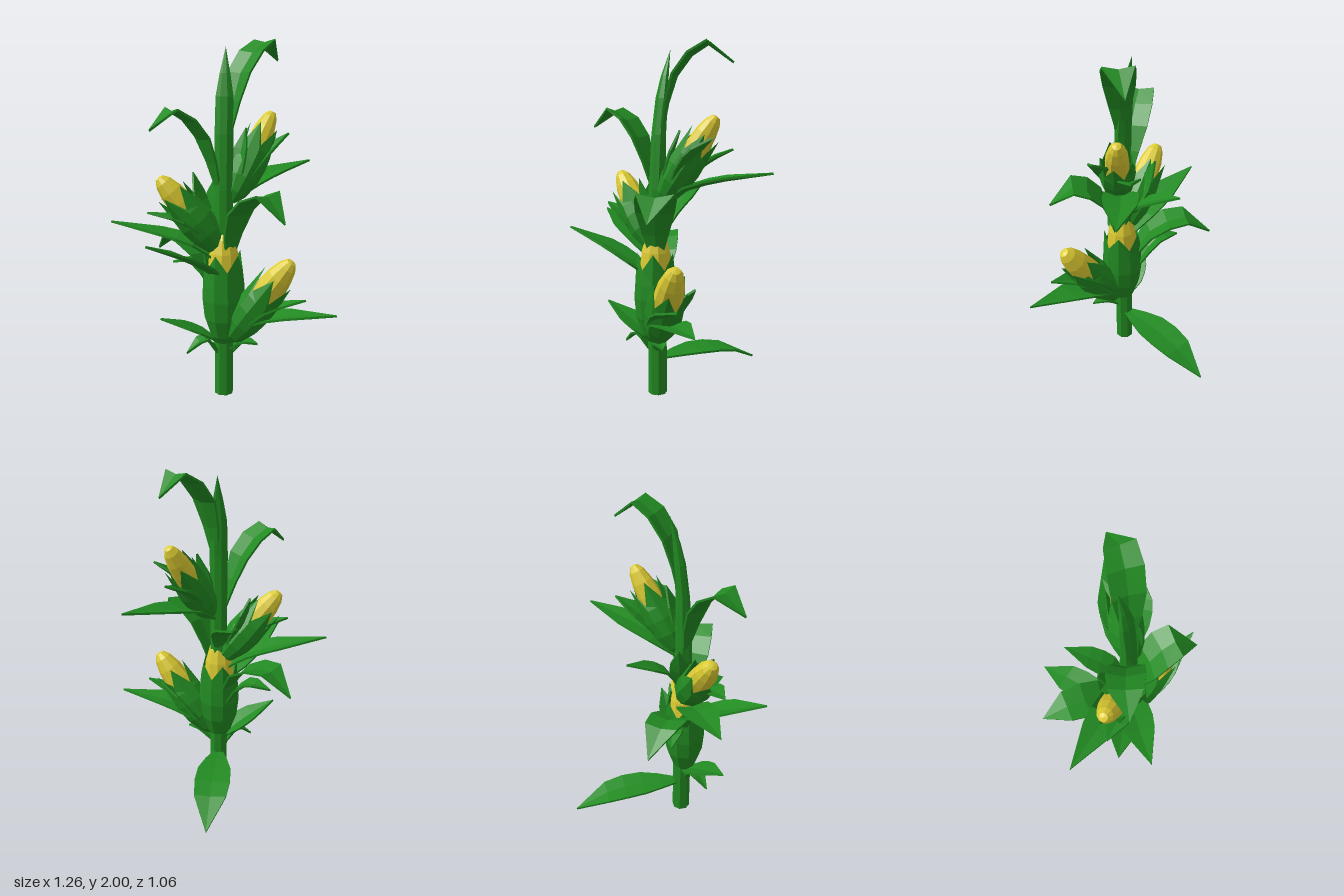
import * as THREE from 'three';

const green = new THREE.MeshStandardMaterial({ color: 0x228b22, flatShading: true, side: THREE.DoubleSide });
const yellow = new THREE.MeshStandardMaterial({ color: 0xdccb32, flatShading: true, side: THREE.DoubleSide });
const v = (p) => new THREE.Vector3(...p);

function mesh(name, geometry, material) {
  const m = new THREE.Mesh(geometry, material);
  m.name = name;
  return m;
}

// Joins equal-length rows of points into a sheet
function loft(rows) {
  const n = rows[0].length;
  const index = [];
  for (let i = 0; i < rows.length - 1; i++) {
    for (let j = 0; j < n - 1; j++) {
      const a = i * n + j, b = a + n;
      index.push(a, a + 1, b, a + 1, b + 1, b);
    }
  }
  const g = new THREE.BufferGeometry().setFromPoints(rows.flat());
  g.setIndex(index);
  g.computeVertexNormals();
  return g;
}

// Pointed leaf of slight thickness with a folded midrib, following a path
function leaf(name, points, width, fold = 0.2) {
  const curve = new THREE.CatmullRomCurve3(points.map(v));
  const first = v(points[0]), last = v(points[points.length - 1]);
  const side = new THREE.Vector3(-(last.z - first.z), 0, last.x - first.x).normalize();
  const stations = [[0, 0.25], [0.17, 0.65], [1 / 3, 0.95], [0.5, 1], [2 / 3, 0.88], [1, 0]];
  const section = [[-1, 0], [0, 0], [1, 0], [1, 1], [0, 1], [-1, 1], [-1, 0]];
  const rows = stations.map(([t, w]) => {
    const p = curve.getPoint(t);
    const half = w * width / 2;
    const up = side.clone().cross(curve.getTangent(t)).normalize();
    if (up.y < 0) up.negate();
    return section.map(([s, under]) => p.clone().addScaledVector(side, s * half)
      .addScaledVector(up, Math.abs(s) * half * fold - under * 0.012));
  });
  return mesh(name, loft(rows), green);
}

// Cob in a husk whose rim alternates between broad points and notches
function ear(name, base, tip, radius, cobRadius, notch = 0.6) {
  const group = new THREE.Group();
  group.name = name;
  const axis = v(tip).sub(v(base));
  const len = axis.length();
  group.position.set(...base);
  group.quaternion.setFromUnitVectors(new THREE.Vector3(0, 1, 0), axis.normalize());

  const cobProfile = [[0.5, 0.2], [1, 0.4], [1, 0.68], [0.9, 0.82], [0.65, 0.94], [0.35, 1], [0, 1.01]];
  group.add(mesh('cob', new THREE.LatheGeometry(
    cobProfile.map(([r, t]) => new THREE.Vector2(r * cobRadius, t * len)), 10), yellow));

  const huskProfile = [[0.2, 0], [0.6, 0.09], [0.9, 0.25], [1, 0.42], [0.96, 0.55], [0.88, 0.7]];
  const rows = huskProfile.map(([r, t], i) => Array.from({ length: 11 }, (_, j) => {
    const a = (j / 10 + 0.05) * Math.PI * 2;
    const rim = i === huskProfile.length - 1;
    const y = rim ? (j % 2 ? 0.82 : notch) : t;
    return new THREE.Vector3(Math.sin(a) * radius * r, y * len, Math.cos(a) * radius * r);
  }));
  group.add(mesh('husk', loft(rows), green));
  return group;
}

export function createModel() {
  const model = new THREE.Group();
  model.name = 'cornPlant';

  // Stalk: round below, flattening into a pointed shoot [y, z, halfWidth, halfDepth]
  const rings = [[0, 0.15, 0.05, 0.05], [0.5, 0.15, 0.05, 0.05], [1.2, 0.145, 0.047, 0.045],
    [1.5, 0.135, 0.05, 0.035], [1.7, 0.115, 0.047, 0.028], [1.82, 0.095, 0.028, 0.018], [1.96, 0.06, 0, 0]];
  model.add(mesh('stalk', loft(rings.map(([y, z, w, d]) => Array.from({ length: 9 }, (_, j) => {
    const a = (j + 0.5) / 8 * Math.PI * 2;
    return new THREE.Vector3(Math.sin(a) * w * 1.08, y, z + Math.cos(a) * d * 1.08);
  }))), green));
  const foot = mesh('stalkBottom', new THREE.CircleGeometry(0.054, 8, Math.PI / 8), green);
  foot.rotation.x = Math.PI / 2;
  foot.position.z = 0.15;
  model.add(foot);

  // Ears
  model.add(
    ear('centreEar', [0, 0.3, 0.165], [0, 0.965, 0.155], 0.122, 0.09, 0.68),
    ear('lowerLeftEar', [0.03, 0.33, 0.17], [0.38, 0.825, 0.24], 0.11, 0.08),
    ear('rightEar', [-0.01, 0.85, 0.15], [-0.345, 1.265, 0.21], 0.105, 0.072),
    ear('upperLeftEar', [0.04, 1.13, 0.14], [0.245, 1.6, -0.085], 0.1, 0.066),
  );

  // Long leaves: path, width, fold
  const leaves = [
    [[[0, 0.215, 0.12], [0, 0.225, -0.1], [0, 0.195, -0.33], [0, 0.1, -0.53]], 0.21, 0.08],
    [[[0.03, 1.13, 0.12], [0.13, 1.21, 0.02], [0.27, 1.265, -0.13], [0.46, 1.31, -0.31]], 0.2],
    [[[0.03, 0.35, 0.16], [0.16, 0.45, 0.19], [0.36, 0.51, 0.23], [0.63, 0.545, 0.27]], 0.2],
    [[[-0.03, 0.79, 0.15], [-0.17, 0.89, 0.16], [-0.36, 0.95, 0.17], [-0.63, 1.015, 0.18]], 0.2],
    [[[-0.02, 0.7, 0.18], [-0.1, 0.78, 0.26], [-0.21, 0.87, 0.37], [-0.35, 0.97, 0.53]], 0.2],
    [[[-0.03, 0.6, 0.12], [-0.14, 0.81, 0.06], [-0.32, 0.885, -0.06], [-0.44, 0.78, -0.16]], 0.21],
    [[[0.03, 0.8, 0.17], [0.11, 1.08, 0.22], [0.25, 1.19, 0.29], [0.35, 1.07, 0.39]], 0.23],
    [[[-0.03, 1.2, 0.15], [-0.12, 1.48, 0.2], [-0.26, 1.63, 0.28], [-0.36, 1.54, 0.37]], 0.2],
    [[[0.02, 1.5, 0.13], [0.08, 1.82, 0.07], [0.2, 1.985, -0.06], [0.27, 1.89, -0.18]], 0.18],
    [[[0, 0.92, 0.13], [-0.03, 1.05, 0.05], [-0.07, 1.13, -0.07], [-0.11, 1.19, -0.2]], 0.14],
    [[[-0.02, 0.31, 0.16], [-0.1, 0.37, 0.2], [-0.2, 0.43, 0.25], [-0.33, 0.5, 0.31]], 0.17],
  ];
  leaves.forEach(([path, width, fold]) => model.add(leaf('leaf', path, width, fold)));

  // Short husk leaves peeling away from the ears
  const peels = [
    [[[0.06, 0.36, 0.2], [0.26, 0.54, 0.25], [0.46, 0.63, 0.28]], 0.15],
    [[[0.06, 0.36, 0.15], [0.22, 0.57, 0.12], [0.34, 0.7, 0.1]], 0.12],
    [[[-0.03, 0.25, 0.17], [-0.1, 0.35, 0.21], [-0.2, 0.28, 0.26]], 0.1],
    [[[0.03, 0.27, 0.16], [0.12, 0.34, 0.2], [0.2, 0.34, 0.22]], 0.08],
    [[[-0.04, 0.93, 0.13], [-0.14, 1.12, 0.09], [-0.18, 1.28, 0.07]], 0.12],
    [[[-0.06, 0.88, 0.17], [-0.22, 1.03, 0.24], [-0.4, 1.09, 0.27]], 0.14],
    [[[0.05, 1.16, 0.14], [0.08, 1.36, 0.11], [0.11, 1.53, 0.07]], 0.11],
    [[[0.07, 1.16, 0.12], [0.23, 1.39, 0.06], [0.34, 1.5, 0]], 0.14],
    [[[0.06, 1.17, 0.1], [0.16, 1.35, -0.08], [0.25, 1.43, -0.19]], 0.13],
    [[[-0.03, 0.55, 0.1], [-0.18, 0.75, 0.04], [-0.32, 0.74, 0]], 0.12],
  ];
  peels.forEach(([path, width]) => model.add(leaf('huskLeaf', path, width, 0.25)));

  return model;
}
